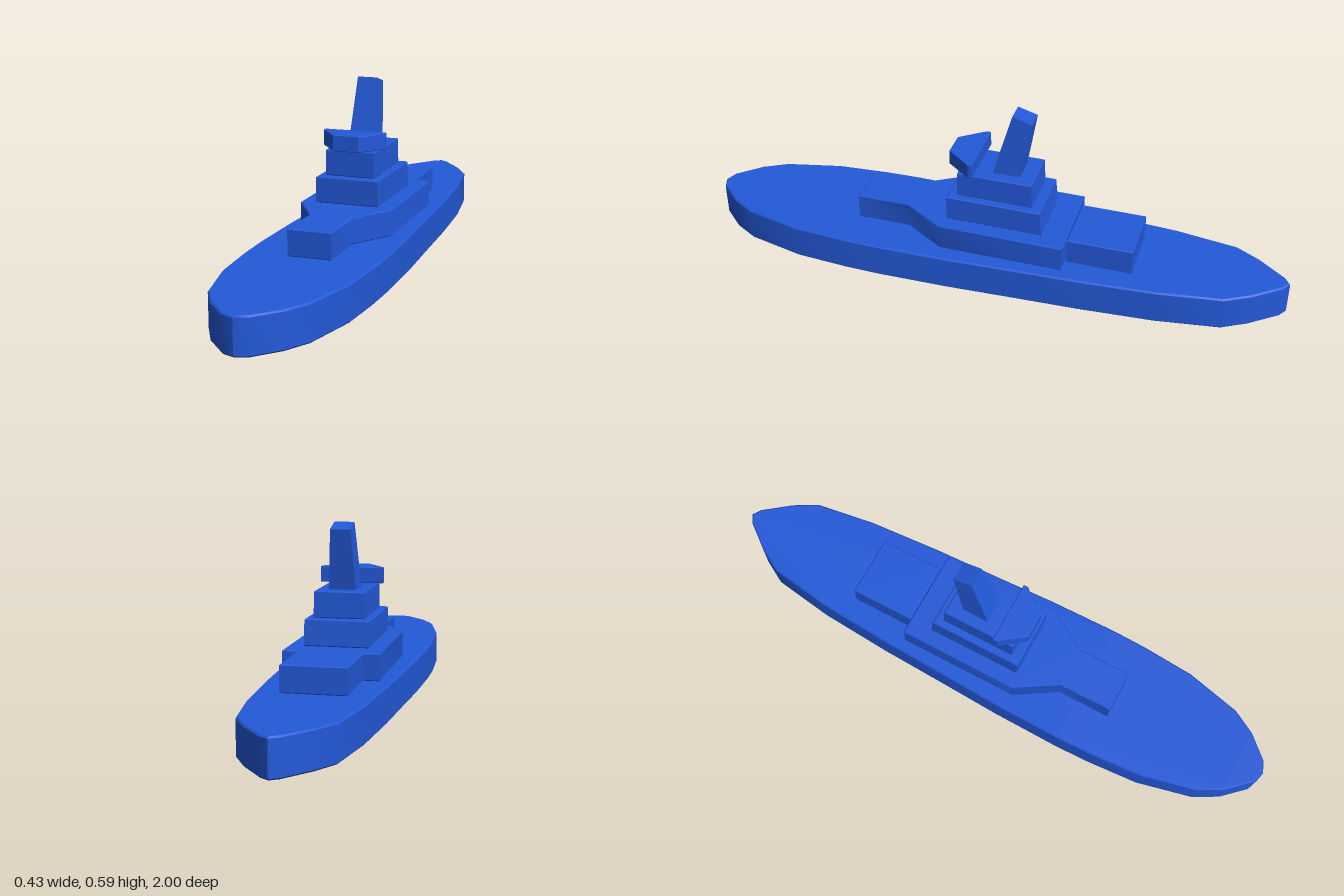
import * as THREE from 'three';
import { toCreasedNormals } from 'three/addons/utils/BufferGeometryUtils.js';

const blue = new THREE.MeshStandardMaterial({ color: 0x2359d9 });
blue.name = 'blue';

// Extrudes a symmetric deck plan upwards. half: [x, z] points of the +x side, bow to stern.
// rake pulls the upper aft face forward.
function slab(name, half, y0, y1, rake = 0, bevel = 0.003) {
  const mirrored = half.filter(([x]) => x > 0).map(([x, z]) => [-x, z]).reverse();
  const shape = new THREE.Shape([...half, ...mirrored].map(([x, z]) => new THREE.Vector2(x, -z)));
  const geo = new THREE.ExtrudeGeometry(shape, {
    depth: y1 - y0 - 2 * bevel, bevelEnabled: true, bevelSegments: 1,
    bevelSize: bevel, bevelThickness: bevel, bevelOffset: -bevel,
  });
  geo.rotateX(-Math.PI / 2);
  geo.translate(0, y0 + bevel, 0);
  const p = geo.attributes.position;
  for (let i = 0; i < p.count; i++) {
    if (p.getZ(i) < 0) p.setZ(i, p.getZ(i) + rake * (p.getY(i) - y0) / (y1 - y0));
  }
  geo.computeVertexNormals();
  const mesh = new THREE.Mesh(toCreasedNormals(geo, 0.6), blue);
  mesh.name = name;
  return mesh;
}

const rect = (x, zFront, zBack) => [[x, zFront], [x, zBack]];

// Tapered funnel leaning aft, with a sloping top
function funnel() {
  const geo = new THREE.BoxGeometry(2, 2, 2);
  const p = geo.attributes.position;
  for (let i = 0; i < p.count; i++) {
    const top = p.getY(i) > 0, front = p.getZ(i) > 0;
    const x = p.getX(i) * (top ? 0.033 : 0.044);
    const y = top ? (front ? 0.594 : 0.575) : 0.377;
    const z = top ? (front ? -0.075 : -0.141) : (front ? -0.014 : -0.106);
    p.setXYZ(i, x, y, z);
  }
  geo.computeVertexNormals();
  const mesh = new THREE.Mesh(geo, blue);
  mesh.name = 'funnel';
  return mesh;
}

export function createModel() {
  const ship = new THREE.Group();
  ship.name = 'ship';

  // Hull outline from bow to stern
  const hull = [
    [0, 1], [0.04, 0.985], [0.11, 0.91], [0.155, 0.83], [0.2, 0.64], [0.213, 0.46],
    [0.216, 0.34], [0.212, 0.1], [0.203, -0.1], [0.193, -0.35], [0.176, -0.6],
    [0.145, -0.81], [0.1, -0.89], [0.03, -0.98], [0, -1],
  ];

  ship.add(
    slab('hull', hull, 0, 0.118, 0, 0.005),
    slab('mainDeckhouse',
      [[0.071, 0.456], [0.071, 0.275], [0.156, 0.138], [0.156, -0.28]], 0.118, 0.205),
    slab('aftDeckhouse', rect(0.105, -0.284, -0.503), 0.118, 0.205),
    slab('lowerTier', rect(0.106, 0.127, -0.199), 0.205, 0.291, 0.009),
    slab('upperTier', rect(0.083, 0.096, -0.159), 0.291, 0.377, 0.004),
    slab('bridge', [[0.043, 0.134], [0.106, 0.052], [0.106, 0.038]], 0.381, 0.434, 0, 0.002),
    funnel(),
  );
  return ship;
}
